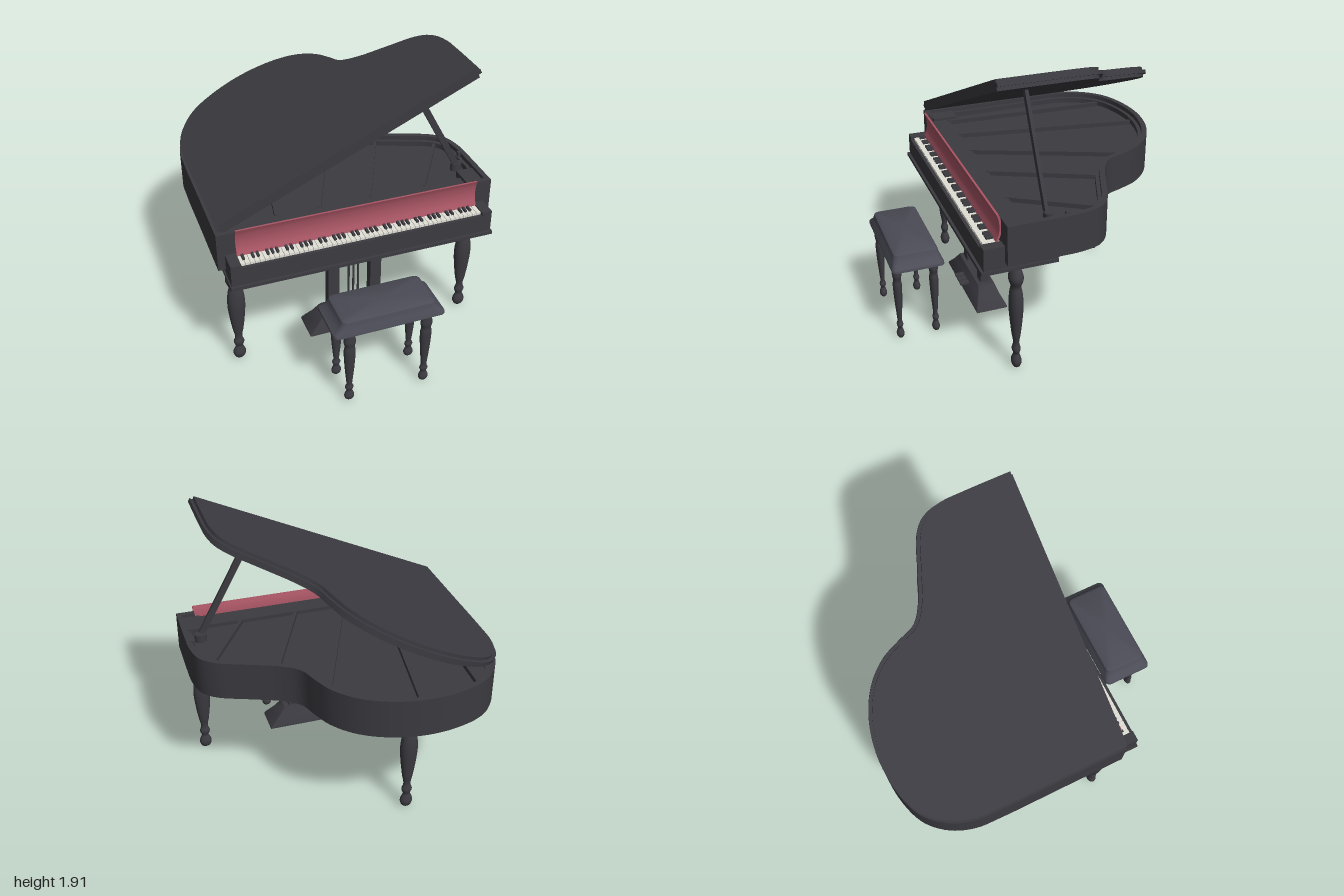
import * as THREE from 'three';
import { toCreasedNormals } from 'three/addons/utils/BufferGeometryUtils.js';

const mat = (color) => new THREE.MeshStandardMaterial({ color });
const black = mat(0x3b3a40), red = mat(0xa85564), ivory = mat(0xe2e1d8), cushion = mat(0x4b4b56);
const V2 = (x, y) => new THREE.Vector2(x, y);

// Curved side of the case, from the left front round the tail to the right front (x, z)
const caseCurve = new THREE.CatmullRomCurve3([
  [-0.92, 0.43], [-0.92, 0], [-0.92, -0.45], [-0.91, -0.62], [-0.85, -0.78], [-0.73, -0.91], [-0.55, -0.98],
  [-0.33, -1], [-0.1, -0.955], [0.08, -0.86], [0.2, -0.73], [0.26, -0.6], [0.31, -0.48], [0.42, -0.4],
  [0.6, -0.325], [0.8, -0.24], [0.88, -0.16], [0.915, -0.03], [0.92, 0.1], [0.92, 0.43],
].map(([x, z]) => new THREE.Vector3(x, 0, z)), false, 'centripetal');

// Case outline moved inward by d, as shape points (x, -z)
function outline(d) {
  return Array.from({ length: 121 }, (_, i) => {
    const p = caseCurve.getPointAt(i / 120), t = caseCurve.getTangentAt(i / 120);
    return V2(p.x - t.z * d, -(p.z + t.x * d));
  });
}

function slab(points, y0, y1) {
  const g = new THREE.ExtrudeGeometry(new THREE.Shape(points), { depth: y1 - y0, bevelEnabled: false });
  g.rotateX(-Math.PI / 2).translate(0, y0, 0);
  return toCreasedNormals(g, 0.5);
}

// Profile of [z, y] points swept from -half to +half along x
function sweepX(points, half) {
  const shape = new THREE.Shape(points.map(([z, y]) => V2(z, y)));
  const g = new THREE.ExtrudeGeometry(shape, { depth: half * 2, bevelEnabled: false });
  g.rotateY(-Math.PI / 2).translate(half, 0, 0);
  return toCreasedNormals(g, 0.5);
}

// Rounded rectangles [halfX, halfZ, y] joined from bottom to top
function loft(rings, radius) {
  const pos = [], idx = [], n = 24;
  for (const [hx, hz, y] of rings) {
    for (let j = 0; j < n; j++) {
      const k = Math.floor(j / 6), a = (k + (j % 6) / 5) * Math.PI / 2;
      const sx = k === 0 || k === 3 ? 1 : -1, sz = k < 2 ? 1 : -1;
      pos.push(sx * (hx - radius) + radius * Math.cos(a), y, sz * (hz - radius) + radius * Math.sin(a));
    }
  }
  const last = rings.length - 1, c = rings.length * n;
  pos.push(0, rings[0][2], 0, 0, rings[last][2], 0);
  for (let j = 0; j < n; j++) {
    const q = (j + 1) % n;
    for (let i = 0; i < last; i++) {
      const a = i * n + j, b = i * n + q;
      idx.push(a, a + n, b, b, a + n, b + n);
    }
    idx.push(c, j, q, c + 1, last * n + q, last * n + j);
  }
  const g = new THREE.BufferGeometry();
  g.setAttribute('position', new THREE.Float32BufferAttribute(pos, 3));
  g.setIndex(idx);
  return toCreasedNormals(g, 0.6);
}

function add(parent, name, geometry, material = black) {
  const m = new THREE.Mesh(geometry, material);
  m.name = name;
  parent.add(m);
  return m;
}

// Box given by its limits
function box(parent, name, x0, x1, y0, y1, z0, z1, material) {
  const m = add(parent, name, new THREE.BoxGeometry(x1 - x0, y1 - y0, z1 - z0), material);
  m.position.set((x0 + x1) / 2, (y0 + y1) / 2, (z0 + z1) / 2);
  return m;
}

// Square bar between two points
function bar(parent, name, a, b, w, h) {
  const p = new THREE.Vector3(...a), q = new THREE.Vector3(...b);
  const m = add(parent, name, new THREE.BoxGeometry(w, h, p.distanceTo(q)));
  m.position.copy(p).add(q).multiplyScalar(0.5);
  m.lookAt(q);
}

function turned(profile) {
  const curve = new THREE.SplineCurve(profile.map(([r, y]) => V2(r, y)));
  return new THREE.LatheGeometry(curve.getPoints(60), 20).scale(1, 1, 0.76);
}

function makeCase(g) {
  const outer = outline(0), inner = outline(0.035).reverse();
  add(g, 'rim', slab([...outer, ...inner], 0.82, 1.08));
  add(g, 'innerLedge', slab([...outline(0.03), ...outline(0.06).reverse()], 0.9, 1.05));
  add(g, 'soundboard', slab(outline(0.02), 0.822, 1.015));

  // Plate struts
  const struts = [[0.8, -0.18, 0.5, 0.3], [0.42, -0.35, 0.12, 0.3], [0.18, -0.66, -0.22, 0.3],
    [-0.3, -0.93, -0.5, 0.3], [-0.7, -0.85, -0.75, 0.3]];
  for (const [x0, z0, x1, z1] of struts) bar(g, 'plateStrut', [x0, 1.03, z0], [x1, 1.03, z1], 0.022, 0.03);
  box(g, 'pinBlock', -0.88, 0.88, 1.0, 1.04, 0.29, 0.42);

  // Front cheeks and lower front section
  for (const s of [-1, 1]) {
    box(g, 'cheek', s * 0.86 - 0.06, s * 0.86 + 0.06, 0.82, 1.08, 0.4, 0.435);
    box(g, 'cheekCap', s * 0.83 - 0.06, s * 0.83 + 0.06, 1.0, 1.06, 0.23, 0.4);
  }
  add(g, 'lowerFront', sweepX([[0.06, 0.83], [0.1, 0.775], [0.44, 0.775], [0.44, 0.83]], 0.87));
  box(g, 'keybedSlab', -0.88, 0.88, 0.757, 0.78, 0.1, 0.583);
}

function makeKeyboard(g) {
  box(g, 'keybed', -0.87, 0.87, 0.78, 0.893, 0.43, 0.56);
  box(g, 'keySlip', -0.81, 0.81, 0.78, 0.905, 0.545, 0.566);
  for (const s of [-1, 1]) box(g, 'keyBlock', s * 0.838 - 0.034, s * 0.838 + 0.034, 0.78, 0.928, 0.43, 0.566);
  const w = 1.61 / 52;
  for (let i = 0; i < 52; i++) {
    const x = -0.805 + i * w;
    box(g, 'whiteKey', x + 0.0015, x + w - 0.0015, 0.89, 0.92, 0.44, 0.543, ivory);
    // Sharps follow every white key but B and E
    if (i < 51 && ![1, 4].includes(i % 7)) box(g, 'blackKey', x + w - 0.008, x + w + 0.008, 0.9, 0.934, 0.44, 0.51);
  }
  const front = new THREE.SplineCurve([V2(0.468, 0.925), V2(0.45, 0.97), V2(0.444, 1.02), V2(0.45, 1.07), V2(0.462, 1.105)]);
  const pts = front.getPoints(14).map((p) => [p.x, p.y]);
  add(g, 'fallboard', sweepX([...pts, ...pts.map(([z, y]) => [z - 0.014, y]).reverse()], 0.805), red);
}

function makeLid(g) {
  const lid = new THREE.Group();
  lid.name = 'lid';
  lid.position.set(-0.89, 1.085, 0.005);
  lid.rotation.z = 0.43;
  const layers = [[0.018, 0, 0.022], [-0.004, 0.022, 0.046], [0.018, 0.046, 0.067]];
  for (const [d, y0, y1] of layers) add(lid, 'lidLayer', slab(outline(d), y0, y1).translate(0.92, 0, 0));
  g.add(lid);
  bar(g, 'lidProp', [0.8, 1.07, 0.155], [0.455, 1.705, 0.155], 0.022, 0.042);
  const foot = add(g, 'propSocket', new THREE.CylinderGeometry(0.04, 0.04, 0.06, 20).scale(1, 1, 0.7));
  foot.position.set(0.81, 1.04, 0.145);
  box(g, 'propCatch', 0.865, 0.89, 1.03, 1.085, 0.04, 0.06);
}

function makeLegs(g) {
  const leg = turned([[0.001, 0], [0.03, 0.012], [0.043, 0.05], [0.03, 0.088], [0.024, 0.105], [0.036, 0.14],
    [0.025, 0.175], [0.027, 0.21], [0.036, 0.25], [0.052, 0.37], [0.059, 0.47], [0.052, 0.55], [0.042, 0.6],
    [0.057, 0.64], [0.06, 0.67], [0.046, 0.71], [0.035, 0.73], [0.036, 0.765]]);
  for (const [x, z, h] of [[-0.805, 0.345, 1], [0.805, 0.345, 1], [-0.345, -0.69, 1.04]]) {
    const m = add(g, z > 0 ? 'frontLeg' : 'rearLeg', leg);
    m.position.set(x, 0, z);
    m.scale.y = h;
  }
  box(g, 'rearLegPlate', -0.48, -0.21, 0.793, 0.825, -0.82, -0.55);
}

function makePedals(g) {
  add(g, 'pedalBeam', loft([[0.6, 0.045, 0.72], [0.62, 0.05, 0.76]], 0.004)).position.z = 0.345;
  for (const s of [-1, 1]) box(g, 'pedalPillar', s * 0.148 - 0.038, s * 0.148 + 0.038, 0.24, 0.73, 0.315, 0.375);
  add(g, 'pedalBox', loft([[0.34, 0.105, 0.118], [0.335, 0.105, 0.128], [0.27, 0.075, 0.19], [0.22, 0.055, 0.25]], 0.005))
    .position.z = 0.345;
  for (const x of [-0.033, 0, 0.033]) {
    add(g, 'pedalRod', new THREE.CylinderGeometry(0.007, 0.007, 0.5, 10)).position.set(x, 0.49, 0.345);
    box(g, 'pedal', x * 1.6 - 0.02, x * 1.6 + 0.02, 0.178, 0.19, 0.38, 0.48);
  }
}

function makeBench(g) {
  const bench = new THREE.Group();
  bench.name = 'bench';
  bench.position.z = 0.827;
  add(bench, 'benchSeat', loft([[0.355, 0.16, 0.548], [0.367, 0.17, 0.556], [0.364, 0.168, 0.57], [0.325, 0.152, 0.6],
    [0.312, 0.147, 0.625], [0.305, 0.142, 0.645], [0.285, 0.125, 0.656]], 0.035), cushion);
  const leg = turned([[0.001, 0], [0.024, 0.01], [0.033, 0.035], [0.024, 0.062], [0.019, 0.078], [0.028, 0.105],
    [0.019, 0.13], [0.022, 0.17], [0.032, 0.28], [0.038, 0.4], [0.032, 0.445], [0.039, 0.48], [0.036, 0.51], [0.028, 0.56]]);
  for (const x of [-0.255, 0.255]) for (const z of [-0.115, 0.125]) add(bench, 'benchLeg', leg).position.set(x, 0, z);
  g.add(bench);
}

export function createModel() {
  const g = new THREE.Group();
  g.name = 'grandPianoWithBench';
  for (const make of [makeCase, makeKeyboard, makeLid, makeLegs, makePedals, makeBench]) make(g);
  return g;
}
